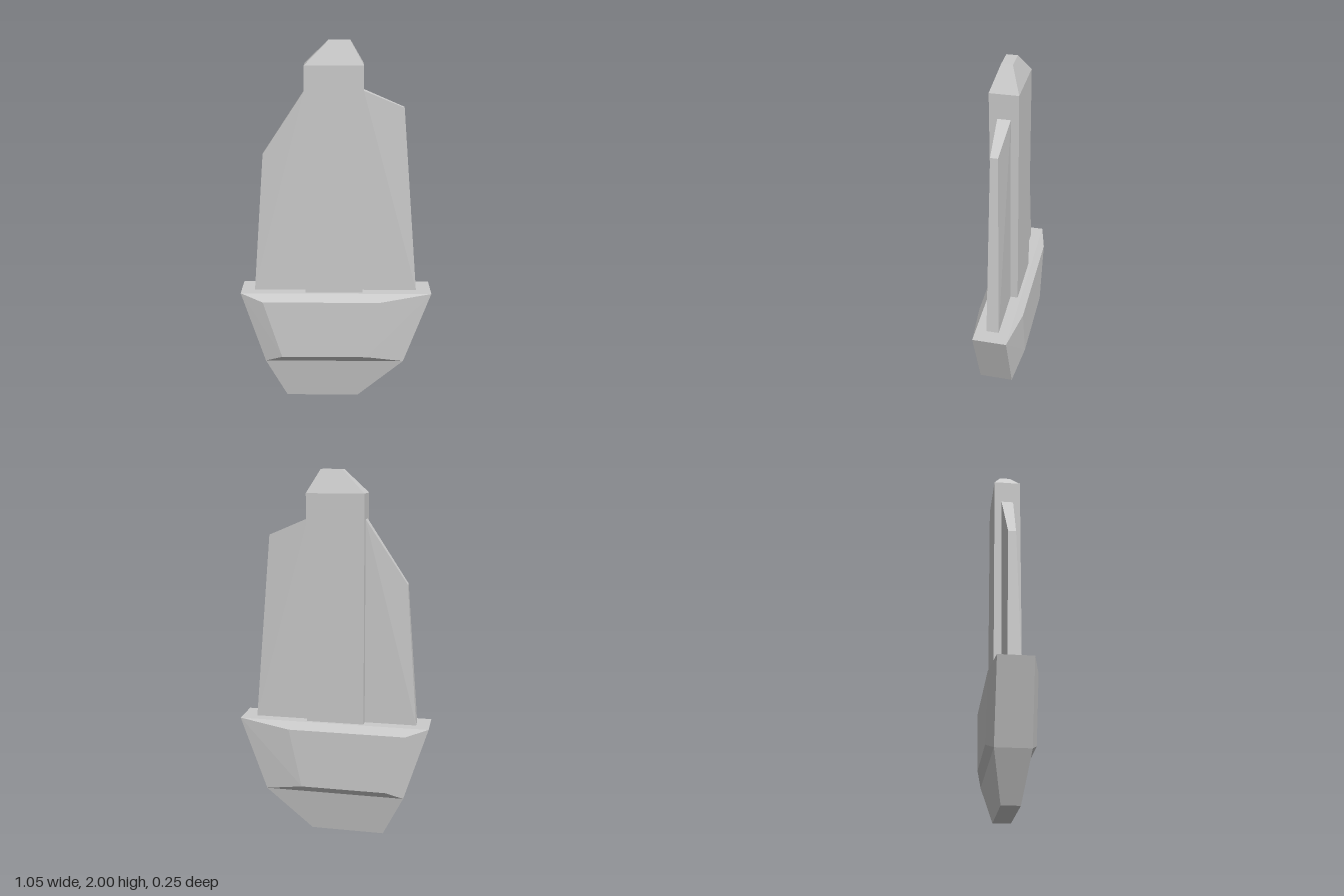
import * as THREE from 'three';
import { ConvexGeometry } from 'three/addons/geometries/ConvexGeometry.js';

const material = new THREE.MeshStandardMaterial({ color: 0xcccccc, flatShading: true });

// Faceted solid from a front outline; every [x, y, halfDepth] is mirrored to front and back.
function solid(name, outline) {
  const points = outline.flatMap(([x, y, d]) => [
    new THREE.Vector3(x, y, d),
    new THREE.Vector3(x, y, -d),
  ]);
  const mesh = new THREE.Mesh(new ConvexGeometry(points), material);
  mesh.name = name;
  return mesh;
}

export function createModel() {
  const group = new THREE.Group();
  group.name = 'bladedTower';

  group.add(
    // tapered foot
    solid('foot', [
      [-0.28, 0, 0.047], [0.125, 0, 0.047],
      [0.378, 0.24, 0.09], [-0.395, 0.24, 0.09],
    ]),
    // flared base with raised panels front and back
    solid('base', [
      [-0.395, 0.24, 0.09], [0.378, 0.24, 0.09],
      [0.523, 0.65, 0.09], [-0.523, 0.65, 0.09],
      [-0.3, 0.28, 0.123], [0.17, 0.28, 0.123],
      [0.24, 0.61, 0.123], [-0.4, 0.61, 0.123],
    ]),
    // central column with its slanted cap
    solid('column', [
      [-0.168, 0.65, 0.073], [0.146, 0.65, 0.073],
      [0.142, 1.88, 0.073], [0.073, 2, 0.028],
      [-0.04, 2, 0.028], [-0.163, 1.88, 0.073],
    ]),
    // side fins, thinner toward the outer tip
    solid('leftFin', [
      [0.142, 0.65, 0.033], [0.443, 0.65, 0.033],
      [0.355, 1.66, 0.019], [0.142, 1.75, 0.033],
    ]),
    solid('rightFin', [
      [-0.163, 0.65, 0.033], [-0.45, 0.65, 0.033],
      [-0.387, 1.415, 0.021], [-0.163, 1.75, 0.033],
    ]),
  );
  return group;
}
